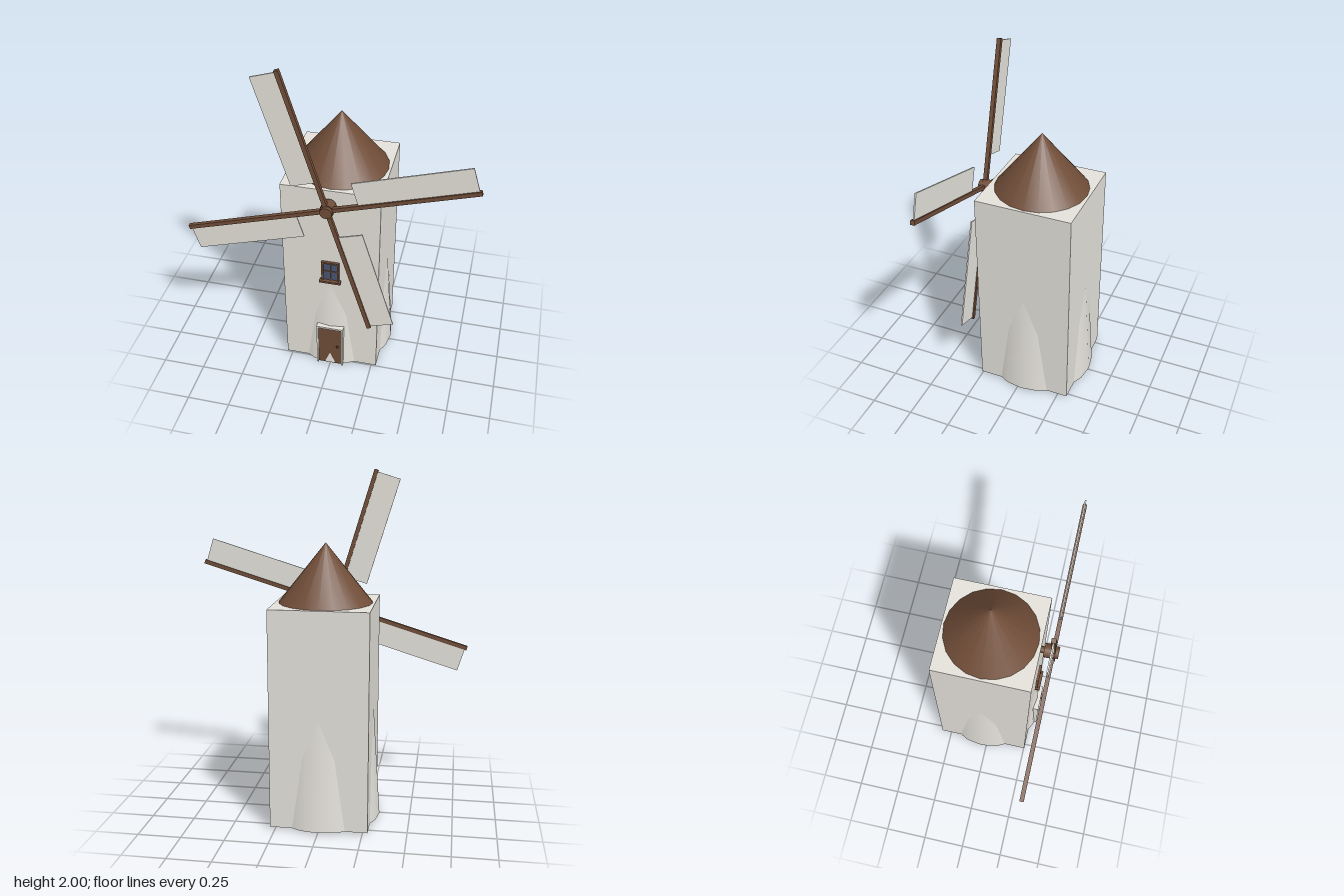
import * as THREE from 'three';

const material = (name, color, extra = {}) => {
  const m = new THREE.MeshStandardMaterial({ color, ...extra });
  m.name = name;
  return m;
};

export function createModel() {
  const plaster = material('plaster', 0xe4e1da);
  const wood = material('brown wood', 0x704d38);
  const glass = material('blue glass', 0x465675);
  const iron = material('dark iron', 0x35261d);

  const model = new THREE.Group();
  model.name = 'windmill';

  const add = (parent, name, geometry, mat, x = 0, y = 0, z = 0) => {
    const mesh = new THREE.Mesh(geometry, mat);
    mesh.name = name;
    mesh.position.set(x, y, z);
    parent.add(mesh);
    return mesh;
  };
  // Box given by its limits on each axis
  const box = (parent, name, mat, [x0, x1], [y0, y1], [z0, z1]) =>
    add(parent, name, new THREE.BoxGeometry(x1 - x0, y1 - y0, z1 - z0), mat,
      (x0 + x1) / 2, (y0 + y1) / 2, (z0 + z1) / 2);
  const group = (name, parent = model) => {
    const g = new THREE.Group();
    g.name = name;
    parent.add(g);
    return g;
  };

  // Square tower with a tapered round core swelling through its lower faces
  const cz = -0.03;
  box(model, 'towerWalls', plaster, [-0.28, 0.28], [0.01, 1.275], [cz - 0.28, cz + 0.283]);
  add(model, 'taperedCore', new THREE.CylinderGeometry(0.24, 0.322, 1.26, 20), plaster, 0, 0.64, cz);
  add(model, 'roof', new THREE.ConeGeometry(0.267, 0.335, 20), wood, 0, 1.4425, cz);

  // Door with plaster surround and a knob
  const door = group('door');
  box(door, 'doorPanel', wood, [-0.072, 0.072], [0.005, 0.288], [0.25, 0.287]);
  for (const s of [-1, 1]) {
    box(door, 'doorJamb', plaster, [s * 0.076 - 0.005, s * 0.076 + 0.005], [0, 0.3], [0.25, 0.294]);
  }
  box(door, 'doorLintel', plaster, [-0.081, 0.081], [0.288, 0.3], [0.25, 0.294]);
  add(door, 'doorKnob', new THREE.SphereGeometry(0.008, 12, 8), iron, 0.046, 0.15, 0.292);

  // Window with frame, glazing bars and sill
  const win = group('window');
  box(win, 'windowPane', glass, [-0.046, 0.046], [0.655, 0.78], [0.25, 0.26]);
  for (const s of [-1, 1]) {
    box(win, 'windowStile', wood, [s * 0.046 - 0.006, s * 0.046 + 0.006], [0.65, 0.785], [0.25, 0.268]);
  }
  box(win, 'windowHead', wood, [-0.052, 0.052], [0.774, 0.785], [0.25, 0.268]);
  box(win, 'verticalBar', wood, [-0.003, 0.003], [0.65, 0.78], [0.25, 0.264]);
  box(win, 'horizontalBar', wood, [-0.046, 0.046], [0.715, 0.721], [0.25, 0.264]);
  box(win, 'windowSill', wood, [-0.062, 0.062], [0.641, 0.654], [0.25, 0.281]);

  // Rotor: hub and four arms, each with a sail along one edge
  const rotor = group('rotor');
  rotor.position.set(0, 1.195, 0.322);
  const hub = (name, r, z0, z1) => {
    const mesh = add(rotor, name, new THREE.CylinderGeometry(r, r, z1 - z0, 16), wood, 0, 0, (z0 + z1) / 2);
    mesh.rotation.x = Math.PI / 2;
  };
  hub('hub', 0.04, -0.052, 0.01);
  hub('hubCap', 0.034, 0.01, 0.031);
  hub('axle', 0.02, -0.12, -0.052);
  for (let i = 0; i < 4; i++) {
    const arm = group('arm', rotor);
    arm.rotation.z = THREE.MathUtils.degToRad(17) + i * Math.PI / 2;
    box(arm, 'spar', wood, [0, 0.838], [-0.012, 0.012], [-0.012, 0.012]);
    box(arm, 'sail', plaster, [0.181, 0.828], [0.008, 0.149], [-0.004, 0.004]);
  }
  return model;
}
